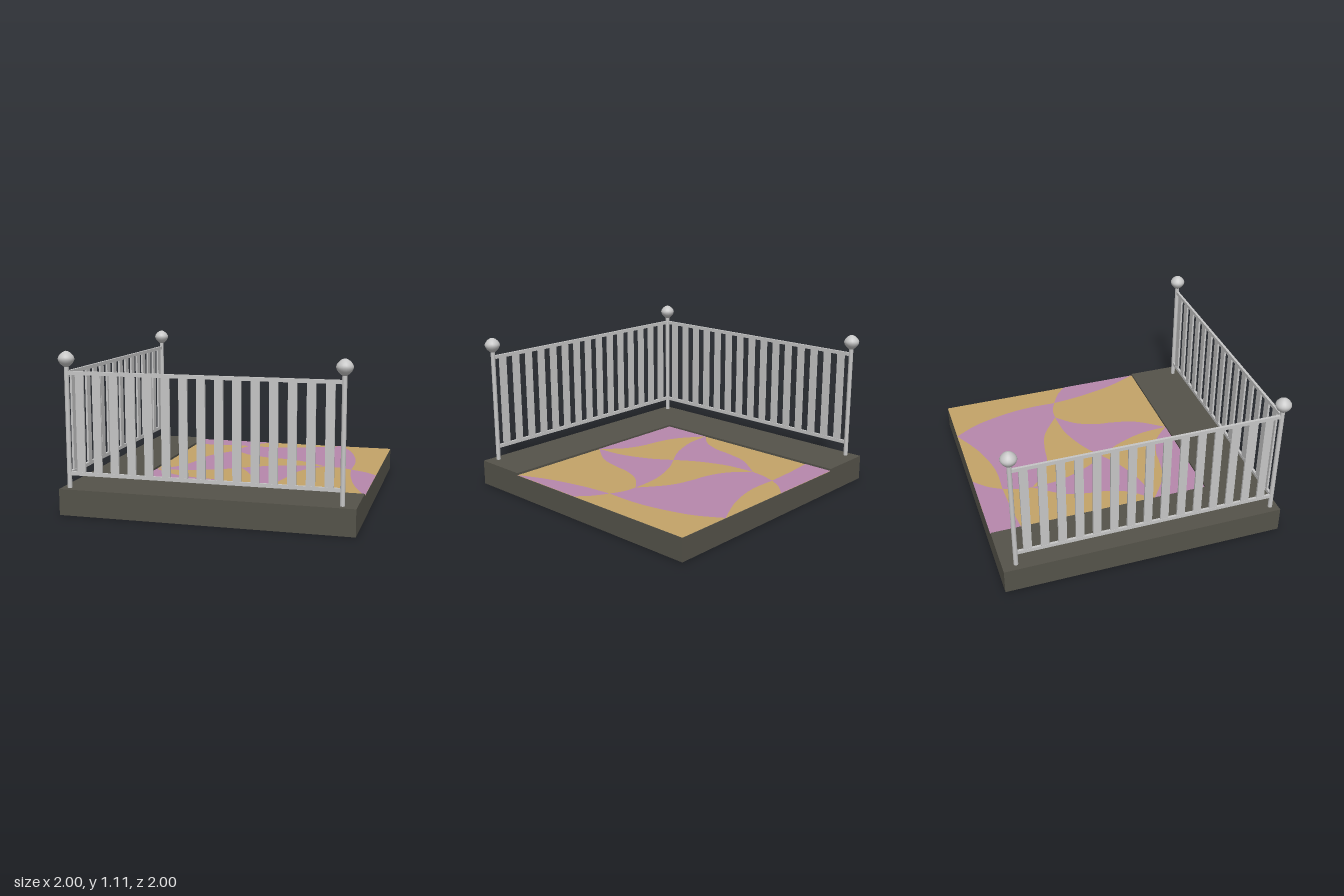
import * as THREE from 'three';

const material = (name, color, side = THREE.FrontSide) => {
  const m = new THREE.MeshStandardMaterial({ color, side });
  m.name = name;
  return m;
};

export function createModel() {
  const stone = material('dark stone', 0x55534a);
  const tan = material('tan floor', 0xc3a368, THREE.DoubleSide);
  const mauve = material('mauve floor', 0xb687ac, THREE.DoubleSide);
  const metal = material('grey metal', 0xc6c6c6);

  const model = new THREE.Group();
  model.name = 'terraceCorner';

  const add = (parent, name, geometry, mat, x = 0, y = 0, z = 0) => {
    const mesh = new THREE.Mesh(geometry, mat);
    mesh.name = name;
    mesh.position.set(x, y, z);
    parent.add(mesh);
    return mesh;
  };

  // Slab with an L-shaped raised border around a sunken floor
  const floorY = 0.165, topY = 0.18;
  add(model, 'slab', new THREE.BoxGeometry(2, 0.162, 2), stone, 0, 0.081, 0);
  const border = new THREE.Shape([
    [-1, -1], [1, -1], [1, -0.6], [-0.6, -0.6], [-0.6, 1], [-1, 1],
  ].map(([x, y]) => new THREE.Vector2(x, y)));
  const borderGeo = new THREE.ExtrudeGeometry(border, { depth: topY - 0.162, bevelEnabled: false });
  add(model, 'raisedBorder', borderGeo.rotateX(-Math.PI / 2), stone, 0, 0.162, 0);

  // Floor paving: tan sheet with curved mauve patches, all given as [x, z]
  const tanGeo = new THREE.PlaneGeometry(1.6, 1.6).rotateX(-Math.PI / 2);
  add(model, 'floor', tanGeo, tan, 0.2, floorY - 0.001, -0.2);

  const smooth = (points) => new THREE.SplineCurve(points.map(([x, z]) => new THREE.Vector2(x, -z))).getPoints(20);
  const patch = (name, ...edges) => {
    const outline = edges.flatMap((e) => smooth(e).slice(0, -1));
    const geo = new THREE.ShapeGeometry(new THREE.Shape(outline)).rotateX(-Math.PI / 2);
    add(model, name, geo, mauve, 0, floorY + 0.001, 0);
  };
  // Quarter turns of an edge about the pinwheel centre
  const turn = (edge, n) => (n === 0 ? edge : turn(edge.map(([x, z]) => [z, -x]), n - 1));
  const back = (edge) => [...edge].reverse();

  const outer = [[0.6, -0.2], [0.4, -0.34], [0.22, -0.39], [0.085, -0.41], [-0.07, -0.475], [-0.2, -0.6]];
  const spoke = [[-0.2, -0.6], [-0.18, -0.38], [-0.1, -0.16], [0, 0]];
  // Two opposite pinwheel blades
  for (const n of [0, 2]) {
    patch('pinwheelBlade', turn(outer, n + 1), turn(spoke, n + 1), back(turn(spoke, n)));
  }
  patch('frontLeftPatch', turn(outer, 2), [[0.2, 0.6], [-0.6, 0.6]], [[-0.6, 0.6], [-0.6, 0.2]]);
  patch('rearPatch', outer,
    [[-0.2, -0.6], [-0.185, -0.7], [-0.15, -0.81]],
    [[-0.15, -0.81], [0.09, -0.81], [0.35, -0.88], [0.59, -1]],
    [[0.59, -1], [0.7, -0.81], [0.775, -0.55], [0.8, -0.35], [0.8, -0.15]],
    [[0.8, -0.15], [0.7, -0.19], [0.6, -0.2]]);
  patch('rearCornerPatch', [[-0.6, -1], [0, -1]],
    [[0, -1], [-0.09, -0.91], [-0.15, -0.81]],
    [[-0.15, -0.81], [-0.38, -0.8], [-0.6, -0.78]],
    [[-0.6, -0.78], [-0.6, -1]]);
  patch('sidePatch', [[0.8, -0.15], [0.91, -0.09], [1, -0.01]], [[1, -0.01], [1, 0.6]],
    [[1, 0.6], [0.9, 0.36], [0.83, 0.08], [0.8, -0.15]]);

  // Posts with onion-shaped finials
  const finial = new THREE.SplineCurve([
    [0.016, 0], [0.042, 0.024], [0.055, 0.052], [0.045, 0.077], [0.022, 0.098], [0, 0.106],
  ].map(([r, y]) => new THREE.Vector2(r, y))).getPoints(14);
  finial.forEach((p) => { p.x = Math.max(p.x, 0); });
  const finialGeo = new THREE.LatheGeometry(finial, 20);
  const postGeo = new THREE.CylinderGeometry(0.016, 0.016, 1.005 - topY, 16);
  for (const [x, z] of [[-0.945, 0.945], [0.905, 0.945], [-0.945, -0.905]]) {
    add(model, 'post', postGeo, metal, x, (1.005 + topY) / 2, z);
    add(model, 'finial', finialGeo, metal, x, 1, z);
  }

  // Railing panel: two rails and fifteen flat balusters
  const makeRailing = (name) => {
    const railing = new THREE.Group();
    railing.name = name;
    const rail = new THREE.BoxGeometry(1.84, 0.025, 0.018);
    add(railing, 'bottomRail', rail, metal, -0.02, 0.281, 0);
    add(railing, 'topRail', rail, metal, -0.02, 0.96, 0);
    const baluster = new THREE.BoxGeometry(0.058, 0.66, 0.014);
    for (let i = 0; i < 15; i++) {
      add(railing, 'baluster', baluster, metal, -0.854 + i * 0.1196, 0.62, 0);
    }
    model.add(railing);
    return railing;
  };
  makeRailing('frontRailing').position.z = 0.945;
  const side = makeRailing('sideRailing');
  side.rotation.y = Math.PI / 2;
  side.position.x = -0.945;

  return model;
}
